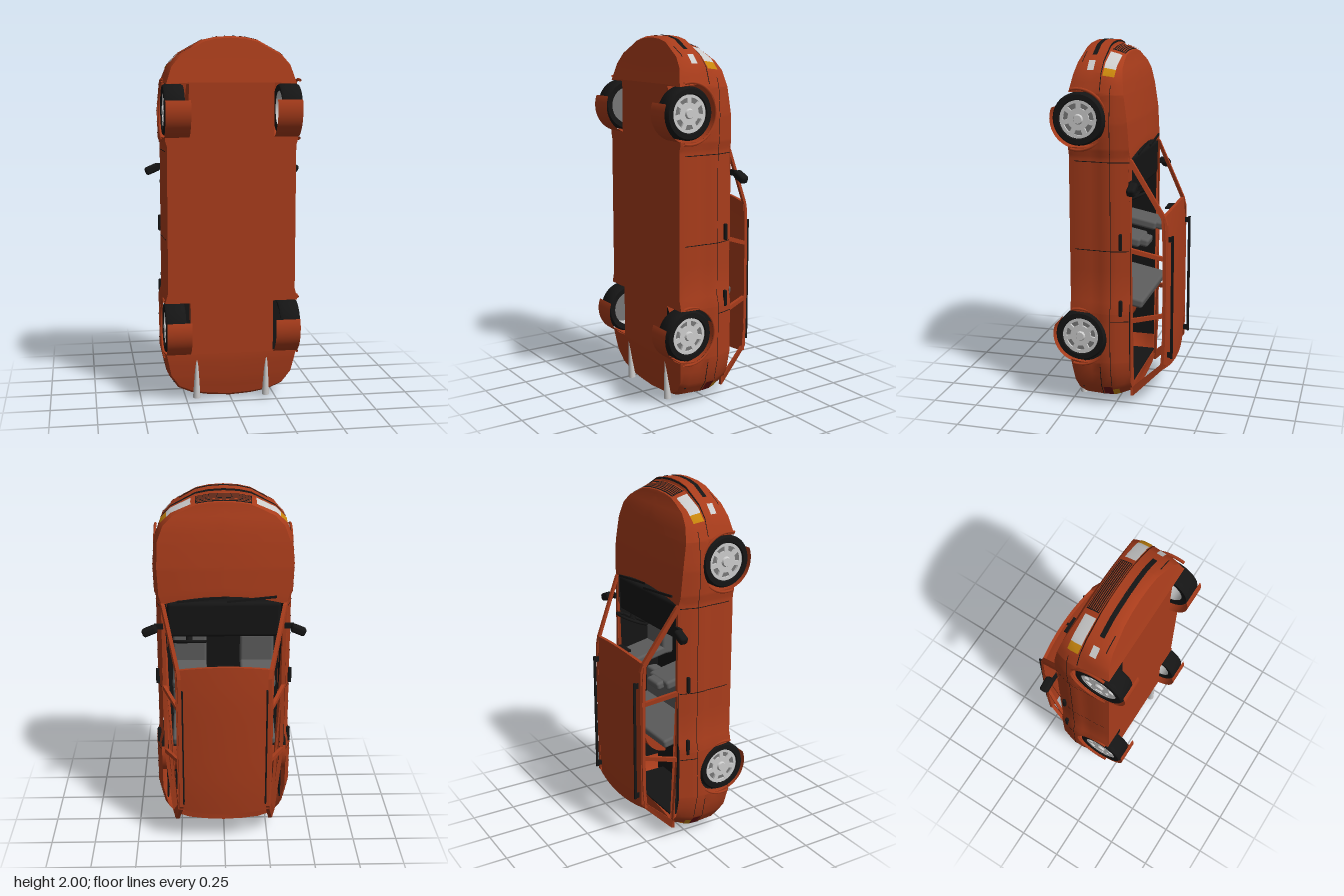
import * as THREE from 'three';
import { toCreasedNormals } from 'three/addons/utils/BufferGeometryUtils.js';
import { RoundedBoxGeometry } from 'three/addons/geometries/RoundedBoxGeometry.js';

// The car is built lying normally (y up, z forward) and tipped onto its tail at the end.
const paint = (color) => new THREE.MeshStandardMaterial({ color, side: THREE.DoubleSide });
const clamp = (v) => Math.min(1, Math.max(0, v));

// Linear lookup in a table sorted by its first column
function at(table, v, col = 1) {
  let i = 1;
  while (i < table.length - 1 && table[i][0] < v) i++;
  const a = table[i - 1], b = table[i];
  return a[col] + (b[col] - a[col]) * clamp((v - a[0]) / (b[0] - a[0]));
}

// Half width along the length
const PLAN = [[0, 0], [.008, .12], [.025, .22], [.06, .3], [.13, .35], [.27, .382], [.57, .385], [.62, .37],
  [1.42, .37], [1.45, .38], [1.6, .385], [1.75, .372], [1.85, .335], [1.91, .28], [1.98, .15], [1.995, .08], [2, 0]];
// Height, width factor, nose inset, tail inset
const PROFILE = [[-.23, .95, .05, .05], [-.2, .965, .02, .03], [-.16, .98, 0, .005], [-.06, .99, 0, 0],
  [-.05, 1, .025, .005], [0, 1, .04, .01], [.03, .985, .055, .02], [.1, .925, .09, .05]];
const BELT = [[0, .1], [1.42, .1], [1.6, .088], [1.85, .055], [1.95, .035], [2, .03]];
const SILL = [[0, -.19], [.1, -.21], [.25, -.23], [1.75, -.23], [1.85, -.21], [2, -.18]];
const AXLES = [.415, 1.61], HUB = -.175, ARCH = .155, HALF = .1449, WELL = .23;

const archAt = (z) => AXLES.find((c) => Math.abs(z - c) < HALF);
function bottom(z) {
  const c = archAt(z);
  return c === undefined ? at(SILL, z) : HUB + Math.sqrt(ARCH ** 2 - (z - c) ** 2);
}

// Point on the outer skin, optionally lifted off it
function skin(z, y, off = 0) {
  const f = clamp((z - 1.6) / .4) ** 2, r = clamp((.4 - z) / .4) ** 2;
  const z0 = Math.max(0, z - .002), z1 = Math.min(2, z + .002);
  const slope = (at(PLAN, z1) - at(PLAN, z0)) / (z1 - z0), len = Math.hypot(1, slope);
  return [at(PLAN, z) * at(PROFILE, y, 1) + off / len,
    y, z - at(PROFILE, y, 2) * f + at(PROFILE, y, 3) * r - off * slope / len];
}

const STATIONS = [...PLAN.map((p) => p[0]), 1.4, 1.5, 1.55, 1.7, 1.8, 1.95, .1, .2, .8, 1, 1.2];
for (const c of AXLES) {
  for (const s of [-1, 1]) STATIONS.push(c + s * .1452, c + s * .1447);
  for (let i = 1; i < 16; i++) STATIONS.push(c - HALF * Math.cos(i * Math.PI / 16));
}
STATIONS.sort((a, b) => b - a);

// Surface through rows of points
function grid(rows) {
  const n = rows[0].length, index = [];
  for (let i = 0; i < rows.length - 1; i++) for (let j = 0; j < n - 1; j++) {
    const a = i * n + j, b = a + n;
    index.push(a, b, a + 1, b, b + 1, a + 1);
  }
  const g = new THREE.BufferGeometry();
  g.setAttribute('position', new THREE.Float32BufferAttribute(rows.flat(2), 3));
  g.setIndex(index);
  return toCreasedNormals(g, .5);
}

// Trim panel that follows the skin
function patch(z0, z1, y0, y1, off = .003) {
  const zs = [z1, ...STATIONS.filter((z) => z > z0 && z < z1), z0];
  const ys = [y0, ...PROFILE.map((p) => p[0]).filter((y) => y > y0 && y < y1), y1];
  return grid(zs.map((z) => ys.map((y) => skin(z, y, off))));
}

function mirrored(geo) {
  const g = geo.index ? geo.toNonIndexed() : geo.clone();
  g.scale(-1, 1, 1);
  for (const a of Object.values(g.attributes)) for (let i = 0; i < a.count; i += 3) for (let k = 0; k < a.itemSize; k++) {
    const t = a.getComponent(i + 1, k);
    a.setComponent(i + 1, k, a.getComponent(i + 2, k));
    a.setComponent(i + 2, k, t);
  }
  return g;
}

const box = (w, h, d, x, y, z, tilt = 0) => new THREE.BoxGeometry(w, h, d).rotateX(tilt).translate(x, y, z);

export function createModel() {
  const model = new THREE.Group(), car = new THREE.Group();
  car.name = 'car';
  car.rotation.x = -Math.PI / 2;
  model.add(car);
  const body = paint(0xa83c1b), black = paint(0x151515), seatGrey = paint(0x5c5c5c), grey = paint(0xcccccc),
    amber = paint(0xc8860c), red = paint(0x6a0f12), dark = paint(0x777777);
  const add = (name, geo, mat) => {
    const m = new THREE.Mesh(geo, mat);
    m.name = name;
    car.add(m);
  };
  const pair = (name, geo, mat) => {
    add(name + 'Left', geo, mat);
    add(name + 'Right', mirrored(geo), mat);
  };

  // Body sides, underside, bonnet and tail ledge
  const levels = [-.23, -.2, -.16, -.11, -.06, -.05, 0, .03, .065, .1];
  pair('bodySide', grid(STATIONS.map((z) => levels.map((y, i) => {
    const top = at(BELT, z);
    return skin(z, i === levels.length - 1 ? top : Math.min(top, Math.max(bottom(z), y)));
  }))), body);
  pair('underside', grid(STATIONS.map((z) => {
    const p = archAt(z) === undefined ? skin(z, bottom(z)) : [WELL, -.23, z];
    return [[0, p[1], p[2]], p];
  })), body);
  const deck = (z) => [0, 1, 2, 3, 4, 5, 6].map((i) => {
    const [w, y, l] = skin(z, at(BELT, z)), s = 1 - i / 6;
    return [w * s, y + .12 * w * w * (1 - s * s), l + .05 * (1 - s * s) * clamp((1.6 - z) / .2)];
  });
  pair('bonnet', grid(STATIONS.filter((z) => z >= 1.4).map(deck)), body);
  pair('tailLedge', grid(STATIONS.filter((z) => z <= .06).map(deck)), body);

  // Wheel wells, arch lips and wheels
  for (const c of AXLES) {
    const end = c > 1 ? 'front' : 'rear';
    pair(end + 'WellWall', new THREE.CircleGeometry(ARCH, 32, -.37, Math.PI + .74).rotateY(Math.PI / 2).translate(WELL, HUB, c), body);
    pair(end + 'WellLiner', new THREE.CylinderGeometry(ARCH, ARCH, .135, 32, 1, true, -.37, Math.PI + .74)
      .rotateX(Math.PI / 2).rotateY(Math.PI / 2).translate(.298, HUB, c), body);
    pair(end + 'ArchLip', new THREE.TorusGeometry(.16, .008, 6, 32, Math.PI + .5).rotateZ(-.25).rotateY(Math.PI / 2).translate(.372, HUB, c), body);
    const place = (g) => g.translate(.315, HUB, c);
    const tyre = [[.1, -.05], [.13, -.055], [.14, -.04], [.14, .04], [.131, .054], [.105, .055], [.1, .045]];
    pair(end + 'Tyre', place(toCreasedNormals(new THREE.LatheGeometry(tyre.map((p) => new THREE.Vector2(...p)), 40), .7).rotateZ(-Math.PI / 2)), black);
    pair(end + 'RimBarrel', place(new THREE.CylinderGeometry(.1, .1, .095, 40, 1, true).rotateZ(-Math.PI / 2)), grey);
    const face = new THREE.Shape().absarc(0, 0, .1, 0, Math.PI * 2);
    for (let i = 0; i < 7; i++) {
      const a = i * Math.PI * 2 / 7;
      face.holes.push(new THREE.Path().absarc(0, 0, .084, a - .3, a + .3).absarc(0, 0, .058, a + .24, a - .24, true));
    }
    pair(end + 'RimFace', place(new THREE.ExtrudeGeometry(face, { depth: .012, bevelEnabled: false, curveSegments: 24 })
      .rotateY(Math.PI / 2).translate(.033, 0, 0)), grey);
    pair(end + 'RimBack', place(new THREE.CircleGeometry(.099, 32).rotateY(Math.PI / 2).translate(.027, 0, 0)), dark);
    pair(end + 'HubCap', place(new THREE.CylinderGeometry(.022, .028, .012, 20).rotateZ(-Math.PI / 2).translate(.05, 0, 0)), grey);
  }

  // Glasshouse sides with open windows, leaning inwards
  const poly = (pts, T) => new T(pts.map((p) => new THREE.Vector2(...p)));
  const frame = poly([[.06, .09], [1.42, .09], [1.4, .11], [1.09, .272], [1.04, .285], [.25, .285], [.22, .265], [.06, .105]], THREE.Shape);
  frame.holes = [
    [[.925, .105], [1.365, .105], [1.075, .255], [.868, .262]],
    [[.53, .105], [.9, .105], [.845, .262], [.545, .262]],
    [[.115, .105], [.505, .105], [.522, .262], [.255, .262]],
  ].map((h) => poly(h, THREE.Path));
  const sideFrame = new THREE.ExtrudeGeometry(frame, { depth: .02, bevelEnabled: false });
  const fp = sideFrame.attributes.position;
  for (let i = 0; i < fp.count; i++) {
    const z = fp.getX(i), y = fp.getY(i);
    fp.setXYZ(i, .342 - .47 * (y - .1) - .06 * clamp((.25 - z) / .2) - fp.getZ(i), y, z);
  }
  sideFrame.computeVertexNormals();
  pair('windowFrame', sideFrame, body);

  // Crowned roof and its rails
  const roof = new THREE.BoxGeometry(.53, .018, .86, 14, 1, 8);
  const rp = roof.attributes.position;
  for (let i = 0; i < rp.count; i++) {
    const x = rp.getX(i), z = rp.getZ(i), s = 1 - (x / .265) ** 2;
    rp.setXYZ(i, x, rp.getY(i) + .272 + .02 * s - .012 * (z / .43) ** 4, .655 + z + .025 * s * z / .43);
  }
  add('roof', toCreasedNormals(roof, .5), body);
  pair('roofRail', box(.008, .014, .7, .23, .308, .63), black);
  for (const z of [.3, .96]) pair('railFoot', box(.008, .03, .03, .23, .292, z), black);

  // Nose: grille, lamps and bumper intake
  pair('grille', patch(1.98, 2, -.045, .025, .002), black);
  for (let i = 0; i < 7; i++) pair('grilleSlat', patch(1.981, 2, -.042 + i * .0098, -.0375 + i * .0098, .005), body);
  pair('headlight', patch(1.885, 1.967, -.047, .015), grey);
  pair('frontIndicator', patch(1.845, 1.885, -.047, .015), amber);
  pair('bumperIntake', patch(1.932, 2, -.13, -.105), black);
  pair('fogLight', patch(1.86, 1.907, -.135, -.1), grey);
  pair('lowerSlot', patch(1.9, 1.95, -.172, -.168, .002), black);
  pair('frontBumperGroove', patch(1.76, 2, -.058, -.054, .002), black);

  // Tail lamps, bumper groove and exhausts
  pair('tailLight', patch(.03, .12, -.05, 0), red);
  pair('rearIndicator', patch(.04, .1, 0, .035), amber);
  pair('rearBumperGroove', patch(0, .25, -.062, -.058, .002), black);
  pair('exhaust', new THREE.CylinderGeometry(.006, .021, .23, 16).rotateX(Math.PI / 2 + .06).translate(.195, -.213, .13), grey);

  // Door seams, waist crease and handles
  for (const z of [1.39, .91]) pair('doorSeam', patch(z - .002, z + .002, -.2, .097, .0015), black);
  pair('doorSeam', patch(.518, .522, 0, .097, .0015), black);
  pair('waistCrease', patch(.13, 1.8, -.002, .001, .0015), black);
  for (const z of [.965, .595]) pair('doorHandle', new RoundedBoxGeometry(.02, .018, .09, 2, .006).translate(.369, .055, z), black);

  // Mirrors and wipers
  pair('doorMirror', new RoundedBoxGeometry(.085, .048, .045, 3, .015).rotateY(.4).translate(.403, .127, 1.262), black);
  pair('mirrorStalk', box(.05, .015, .03, .355, .11, 1.28), black);
  add('cabinMirror', box(.1, .035, .012, 0, .243, 1.09), black);
  add('cabinMirrorStem', box(.012, .03, .012, 0, .27, 1.085), black);
  for (const x of [-.15, .12]) add('wiper', new THREE.BoxGeometry(.27, .008, .012).rotateZ(.05).rotateY(.08).translate(x, .117, 1.435), black);

  // Cabin lining, dashboard and steering wheel
  add('cabinFloor', box(.64, .01, 1.3, 0, -.17, .75), black);
  pair('doorLining', box(.008, .26, 1.2, .326, -.035, .8), black);
  add('bootLining', box(.52, .26, .008, 0, -.035, .13), black);
  add('dashboard', new RoundedBoxGeometry(.62, .2, .2, 3, .02).translate(0, 0, 1.31), black);
  add('steeringWheel', new THREE.TorusGeometry(.09, .008, 8, 32).rotateX(.4).translate(.19, .083, 1.18), black);
  add('steeringSpoke', box(.17, .025, .01, .19, .083, 1.18, .4), black);
  add('steeringColumn', new THREE.CylinderGeometry(.018, .018, .1, 12).rotateX(Math.PI / 2 + .4).translate(.19, .065, 1.22), black);

  // Front seats and rear bench
  const seat = (w, h, d, x, y, z, tilt = 0) => new RoundedBoxGeometry(w, h, d, 2, .015).rotateX(tilt).translate(x, y, z);
  pair('frontSeatCushion', seat(.19, .07, .2, .19, -.1, 1.06), seatGrey);
  pair('frontSeatBack', seat(.19, .25, .05, .19, .015, .965, -.2), seatGrey);
  pair('frontHeadrest', seat(.12, .06, .045, .19, .147, .938, -.2), seatGrey);
  add('rearBenchCushion', seat(.58, .07, .2, 0, -.1, .73), seatGrey);
  add('rearBenchBack', seat(.58, .27, .05, 0, .025, .625, -.2), seatGrey);
  return model;
}
